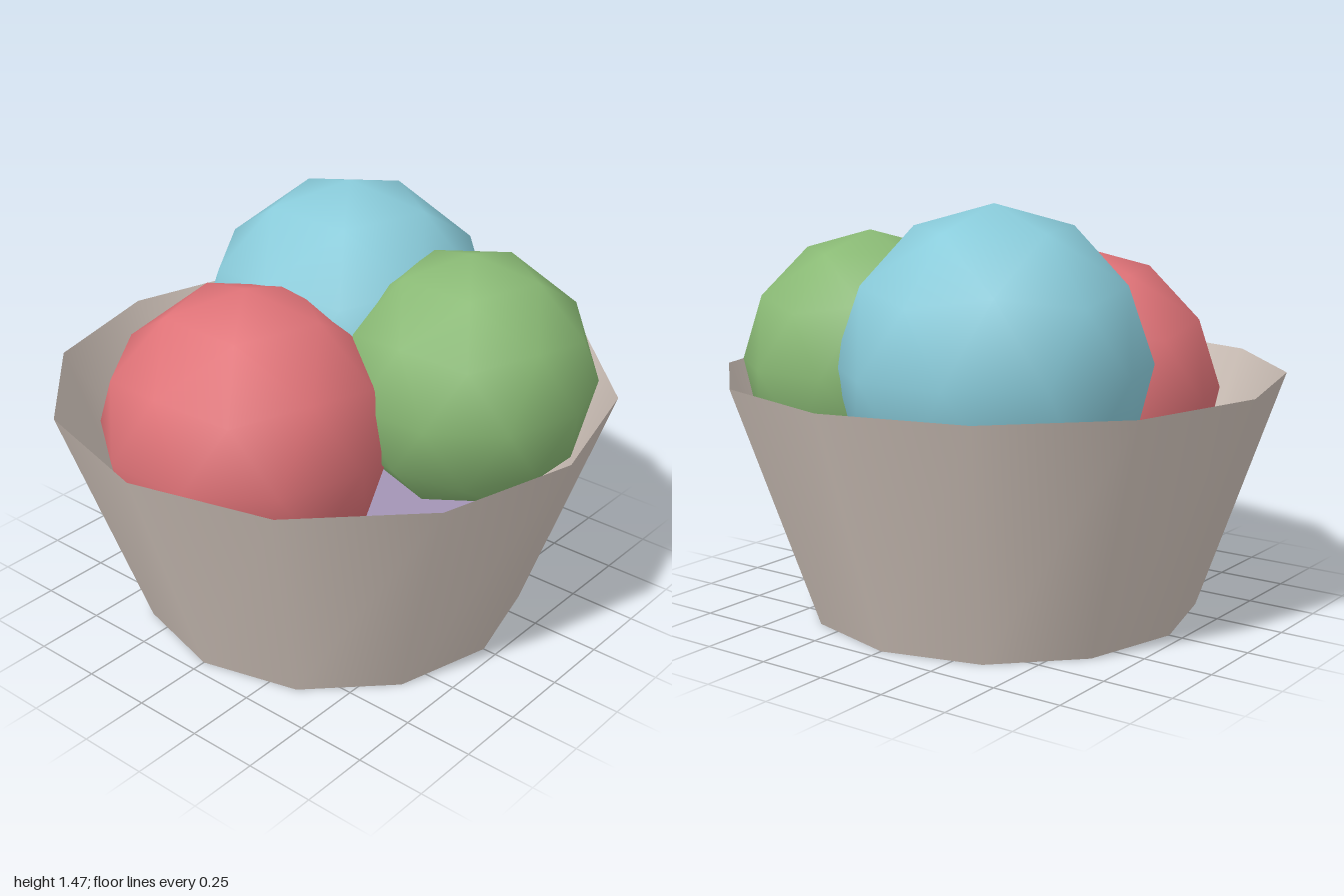
import * as THREE from 'three';

const material = (name, color, side = THREE.FrontSide) => {
  const m = new THREE.MeshStandardMaterial({ color, side });
  m.name = name;
  return m;
};

export function createModel() {
  const group = new THREE.Group();
  group.name = 'bowlOfScoops';
  const clay = material('warm grey', 0xd0c3ba, THREE.DoubleSide);
  const purple = material('soft purple', 0xa394b5, THREE.DoubleSide);

  const add = (name, geometry, mat, x, y, z) => {
    const mesh = new THREE.Mesh(geometry, mat);
    mesh.name = name;
    mesh.position.set(x, y, z);
    group.add(mesh);
  };

  // Bowl: thin twelve-sided flared wall with a flat bottom
  const height = 0.86, sides = 12;
  add('bowlWall', new THREE.CylinderGeometry(1, 0.7, height, sides, 1, true), clay, 0, height / 2, 0);
  add('bowlBottom', new THREE.CircleGeometry(0.7, sides).rotateX(Math.PI / 2), clay, 0, 0, 0);

  // Coloured layer lying low inside the bowl
  add('bowlFilling', new THREE.CircleGeometry(0.73, sides).rotateX(-Math.PI / 2), purple, 0, 0.086, 0);

  // Scoops: coarse icospheres turned so one corner points straight up
  const scoop = (name, mat, r, x, y, z) => {
    const ball = new THREE.IcosahedronGeometry(r, 1);
    ball.rotateX(-Math.atan((1 + Math.sqrt(5)) / 2)).rotateY(Math.PI / 2);
    add(name, ball, mat, x, y, z);
  };
  scoop('redScoop', material('red', 0xe07378), 0.52, -0.33, 0.75, -0.11);
  scoop('blueScoop', material('light blue', 0x8accdb), 0.54, 0.29, 0.93, -0.17);
  scoop('greenScoop', material('green', 0x8aba75), 0.46, 0.25, 0.89, 0.4);

  return group;
}
